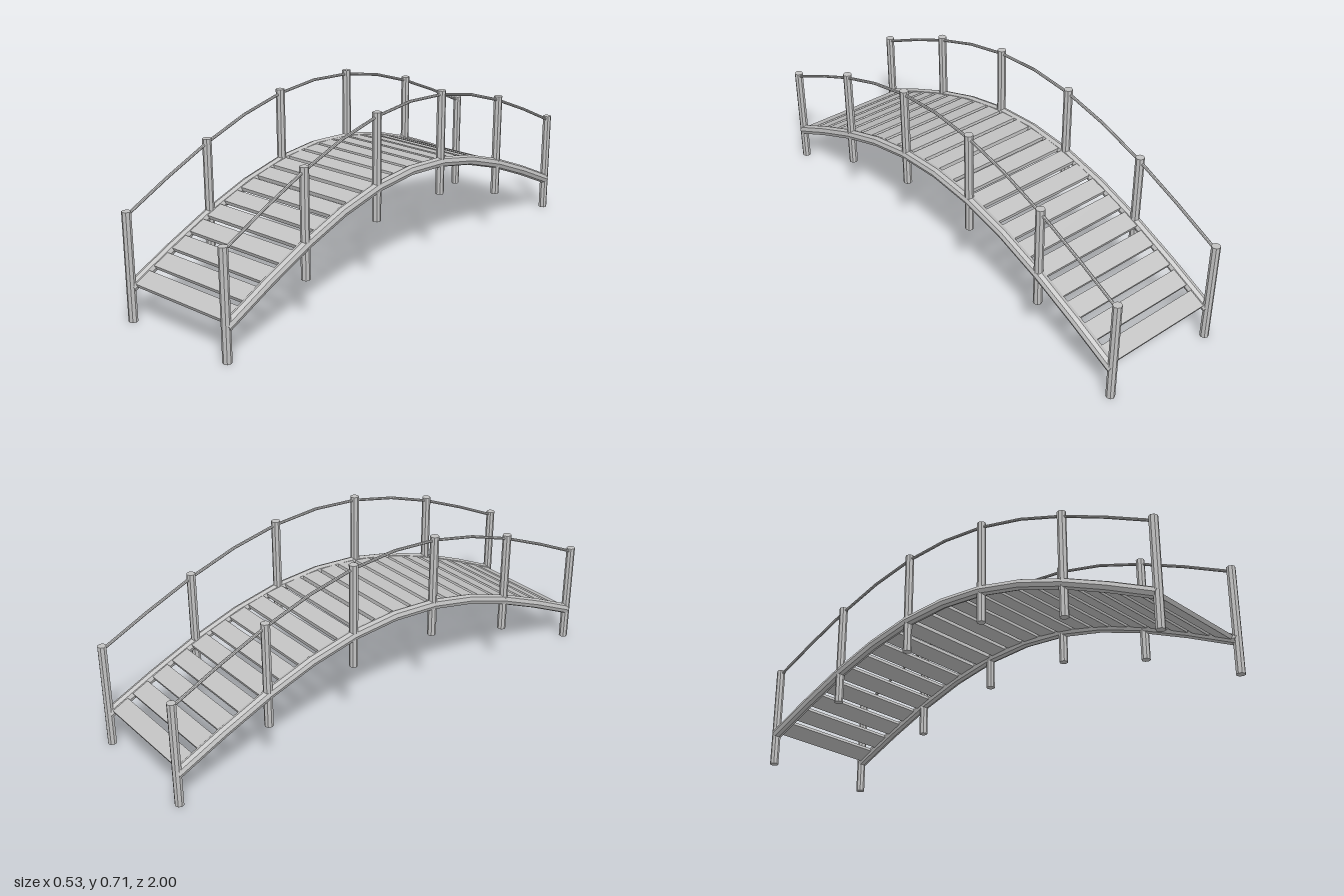
import * as THREE from 'three';

const HALF = 0.982;   // half the span, measured at the post centres
const RISE = 0.295;   // height of the arch
const SIDE_X = 0.245; // distance of posts and rails from the centre line

const archZ = (u) => HALF * (1 - 2 * u);
const archY = (u) => RISE * Math.sin(Math.PI * u);

// Sine arch running front to back, sampled evenly along z
class ArchCurve extends THREE.Curve {
  constructor(base) {
    super();
    this.base = base;
  }
  getPoint(u, target = new THREE.Vector3()) {
    return target.set(0, this.base + archY(u), archZ(u));
  }
  getTangent(u, target = new THREE.Vector3()) {
    return target.set(0, RISE * Math.PI * Math.cos(Math.PI * u), -2 * HALF).normalize();
  }
  getPointAt(u, target) { return this.getPoint(u, target); }
  getTangentAt(u, target) { return this.getTangent(u, target); }
}

export function createModel() {
  const model = new THREE.Group();
  model.name = 'archedFootbridge';

  const wood = new THREE.MeshStandardMaterial({ color: 0xc2c2c2, flatShading: true });
  wood.name = 'paleGrey';

  const add = (name, geometry, parent = model) => {
    const mesh = new THREE.Mesh(geometry, wood);
    mesh.name = name;
    parent.add(mesh);
    return mesh;
  };

  // Deck slats, each tilted along the arch
  const slats = new THREE.Group();
  slats.name = 'deckSlats';
  model.add(slats);
  const slatGeometry = new THREE.BoxGeometry(0.47, 0.016, 0.073);
  const slatCount = 22;
  for (let i = 0; i < slatCount; i++) {
    const u = (i + 0.5) / slatCount;
    const slope = RISE * Math.PI * Math.cos(Math.PI * u) / (-2 * HALF);
    const slat = add('slat', slatGeometry, slats);
    slat.position.set(0, 0.136 + archY(u), archZ(u));
    slat.rotation.x = -Math.atan(slope);
  }

  // Shared geometry of the two sides
  const beamCurve = new ArchCurve(0.133);
  const beamGeometry = new THREE.TubeGeometry(beamCurve, 10, 0.021, 8);
  const capGeometry = new THREE.CircleGeometry(0.021, 8);
  const railGeometry = new THREE.TubeGeometry(new ArchCurve(0.409), 10, 0.006, 8);
  const postGeometry = new THREE.CylinderGeometry(0.0175, 0.0175, 0.426, 8);

  for (const side of [1, -1]) {
    const group = new THREE.Group();
    group.name = side > 0 ? 'leftSide' : 'rightSide';

    add('beam', beamGeometry, group);
    add('handrail', railGeometry, group);

    // Closed beam ends
    for (const u of [0, 1]) {
      const cap = add('beamEnd', capGeometry, group);
      const outward = beamCurve.getTangent(u).multiplyScalar(u === 0 ? -1 : 1);
      cap.position.copy(beamCurve.getPoint(u));
      cap.lookAt(cap.position.clone().add(outward));
    }

    // Six posts following the arch
    for (let i = 0; i <= 5; i++) {
      const post = add('post', postGeometry, group);
      post.position.set(0, 0.213 + archY(i / 5), archZ(i / 5));
    }

    group.position.x = side * SIDE_X;
    model.add(group);
  }

  return model;
}
